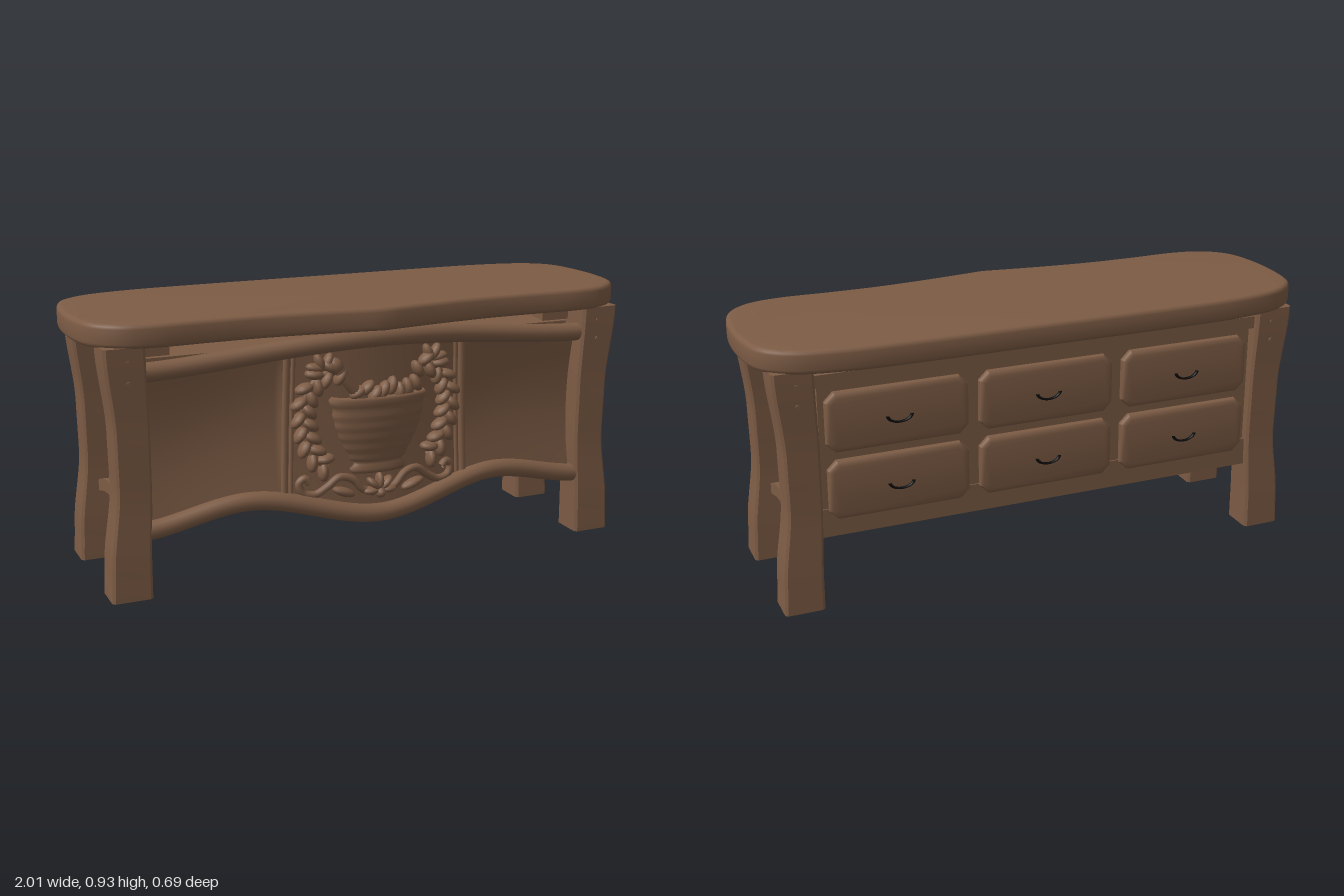
import * as THREE from 'three';
import { toCreasedNormals } from 'three/addons/utils/BufferGeometryUtils.js';

const wood = new THREE.MeshStandardMaterial({ color: 0x7d5c45, side: THREE.DoubleSide });
wood.name = 'brown wood';
const iron = new THREE.MeshStandardMaterial({ color: 0x0a0a0a });
iron.name = 'black iron';

const V = (x, y, z = 0) => new THREE.Vector3(x, y, z);
const curveOf = pts => new THREE.CatmullRomCurve3(pts);
const shapeOf = pts => new THREE.Shape(pts.map(p => new THREE.Vector2(...p)));

function add(parent, name, geometry, material = wood) {
  const mesh = new THREE.Mesh(geometry, material);
  mesh.name = name;
  parent.add(mesh);
  return mesh;
}

// Smooth interpolation through [position, value] stops
function along(stops, t) {
  let i = 0;
  while (i < stops.length - 2 && t > stops[i + 1][0]) i++;
  const [a, b] = [stops[i], stops[i + 1]];
  const k = THREE.MathUtils.smoothstep(t, a[0], b[0]);
  return a[1] + (b[1] - a[1]) * k;
}

// Front face: bowed in plan, rails waving in elevation
const bowZ = x => 0.24 + 0.06 * Math.exp(-((x / 0.4) ** 2));
const topRailY = x => along([[0, 0.818], [0.85, 0.757]], Math.abs(x));
const lowRailY = x => along([[0, 0.198], [0.46, 0.284], [0.85, 0.222]], Math.abs(x));
function panelZ(x, y) {
  const v = (y - lowRailY(x)) / (topRailY(x) - lowRailY(x));
  const wing = Math.abs(x) > 0.325 ? 0.025 : 0.006;
  return bowZ(x) - 0.02 - wing * Math.sin(Math.PI * THREE.MathUtils.clamp(v, 0, 1));
}

function counterTop(g) {
  const half = curveOf([
    V(0, 0.344), V(0.22, 0.315), V(0.42, 0.298), V(0.6, 0.297), V(0.78, 0.3), V(0.89, 0.275),
    V(0.968, 0.205), V(0.999, 0.09), V(0.999, -0.1), V(0.968, -0.22), V(0.885, -0.29),
    V(0.72, -0.329), V(0.45, -0.34), V(0, -0.34)]).getPoints(60);
  const right = half.map(p => [p.x, -p.y]);
  const left = right.slice(1, -1).reverse().map(p => [-p[0], p[1]]);
  const geo = new THREE.ExtrudeGeometry(shapeOf([...right, ...left]), {
    depth: 0.048, bevelThickness: 0.016, bevelSize: 0.016, bevelOffset: -0.016, bevelSegments: 3 });
  geo.rotateX(-Math.PI / 2).translate(0, 0.861, 0);
  add(g, 'counterTop', toCreasedNormals(geo, 0.6));
}

// Post with eased corners, waisted in the middle and flared at foot and head
function leg(g, sx, sz) {
  const c = 0.43, h = 0.5;
  const section = shapeOf([[c, -h], [h, -c], [h, c], [c, h], [-c, h], [-h, c], [-h, -c], [-c, -h]]);
  const geo = new THREE.ExtrudeGeometry(section, { depth: 0.85, steps: 24, bevelEnabled: false });
  geo.rotateX(-Math.PI / 2);
  const p = geo.attributes.position;
  for (let i = 0; i < p.count; i++) {
    const y = p.getY(i);
    const cx = along([[0, 0.88], [0.1, 0.877], [0.38, 0.858], [0.55, 0.859], [0.85, 0.876]], y);
    const wx = along([[0, 0.138], [0.1, 0.134], [0.38, 0.116], [0.55, 0.118], [0.85, 0.138]], y);
    const wz = along([[0, 0.124], [0.1, 0.122], [0.35, 0.11], [0.55, 0.114], [0.85, 0.128]], y);
    p.setXYZ(i, sx * cx + p.getX(i) * wx, y, sz * 0.218 + p.getZ(i) * wz);
  }
  add(g, 'leg', toCreasedNormals(geo, 0.5));
  for (const y of [0.735, 0.803]) {
    const peg = add(g, 'legPeg', new THREE.CylinderGeometry(0.007, 0.007, 0.01, 10).rotateX(Math.PI / 2));
    peg.position.set(sx * 0.866, y, sz * 0.28);
  }
}

function frontFace(g) {
  const geo = new THREE.PlaneGeometry(1.64, 1, 82, 16);
  const p = geo.attributes.position;
  for (let i = 0; i < p.count; i++) {
    const x = p.getX(i);
    const y = THREE.MathUtils.lerp(lowRailY(x), topRailY(x), p.getY(i) + 0.5);
    p.setXYZ(i, x, y, panelZ(x, y));
  }
  geo.computeVertexNormals();
  add(g, 'frontPanel', geo);

  // Rounded rails, the lower one with a slimmer band behind it
  for (const [name, f, dz, r] of [['frontTopRail', topRailY, 0, 0.032],
    ['frontLowerRail', lowRailY, 0, 0.032], ['lowerRailBacking', lowRailY, -0.034, 0.022]]) {
    const pts = Array.from({ length: 33 }, (_, i) => -0.82 + i * 0.05125).map(x => V(x, f(x), bowZ(x) + dz));
    add(g, name, new THREE.TubeGeometry(curveOf(pts), 96, r, 14));
  }
  // Paired mouldings framing the carved centre
  for (const s of [-1, 1]) for (const [x0, r] of [[0.307, 0.008], [0.33, 0.013]]) {
    const pts = [0.25, 0.4, 0.55, 0.7, 0.79].map(y =>
      V(s * (x0 + 0.03 * (0.6 - y)), y, panelZ(0.3, y) + 0.006));
    add(g, 'panelMoulding', new THREE.TubeGeometry(curveOf(pts), 20, r, 8));
  }
}

// Flattened oval lump lying on the panel
function lump(g, name, x, y, length, width, angle, depth = 0.024, lift = 0.01) {
  const m = add(g, name, new THREE.SphereGeometry(1, 12, 8));
  m.scale.set(length, width, depth);
  m.rotation.z = angle;
  m.position.set(x, y, panelZ(x, y) + lift);
}

function carving(parent) {
  const g = new THREE.Group();
  g.name = 'carvedRelief';
  parent.add(g);

  // Ribbed bowl in half relief
  const profile = [[0.001, 0.345], [0.098, 0.345], [0.106, 0.36], [0.09, 0.375], [0.09, 0.385]];
  for (let i = 0; i <= 20; i++) {
    const t = i / 20;
    profile.push([0.098 + 0.07 * Math.sin(t * 1.57) + (i % 4 < 2 ? 0.003 : 0), 0.39 + t * 0.195]);
  }
  profile.push([0.178, 0.592], [0.182, 0.608], [0.172, 0.618], [0.14, 0.612], [0.001, 0.605]);
  const bowl = add(g, 'mortarBowl', new THREE.LatheGeometry(profile.map(p => new THREE.Vector2(...p)), 36));
  bowl.scale.z = 0.33;
  bowl.position.z = 0.275;

  // Pestle and heaped herbs
  const pestle = curveOf([V(-0.06, 0.6, 0.288), V(-0.11, 0.66, 0.288), V(-0.15, 0.715, 0.286)]);
  add(g, 'pestle', new THREE.TubeGeometry(pestle, 12, 0.02, 10));
  lump(g, 'pestleKnob', -0.16, 0.728, 0.032, 0.026, -0.9, 0.028, 0.012);
  for (let i = 0; i < 8; i++) {
    const x = -0.08 + i * 0.031;
    lump(g, 'herbLeaf', x, 0.632 + 0.014 * Math.sin(i * 2.1), 0.034, 0.018, 0.5 + i * 0.22, 0.028, 0.016);
  }

  for (const s of [-1, 1]) {
    // Leafy garland down each side
    const path = curveOf([V(0.15, 0.71), V(0.22, 0.69), V(0.268, 0.6), V(0.262, 0.5), V(0.235, 0.42), V(0.19, 0.375)]);
    const stem = path.getPoints(16).map(p => V(s * p.x, p.y, panelZ(p.x, p.y) + 0.012));
    add(g, 'garlandStem', new THREE.TubeGeometry(curveOf(stem), 40, 0.012, 8));
    for (let i = 0; i < 18; i++) {
      const p = path.getPointAt(i / 17), t = path.getTangentAt(i / 17);
      const side = i % 2 ? 1 : -1;
      const x = s * (p.x + side * 0.02 * -t.y), y = p.y + side * 0.02 * t.x;
      const angle = Math.atan2(t.y, s * t.x) + s * side * 0.8;
      lump(g, 'garlandLeaf', x, y, 0.034, 0.018, angle, 0.03, 0.014);
    }
    for (const a of [0.2, 1.1, 2]) {
      lump(g, 'upperLeaf', s * (0.2 + 0.03 * Math.cos(a)), 0.72 + 0.026 * Math.sin(a), 0.034, 0.016, s * a);
    }
    // Scrolls under the bowl
    const scroll = [[0.25, 0.325], [0.268, 0.342], [0.288, 0.325], [0.275, 0.292], [0.235, 0.282], [0.19, 0.305],
      [0.145, 0.336], [0.1, 0.325], [0.06, 0.285], [0.02, 0.27]]
      .map(([x, y]) => V(s * x, y, panelZ(x, y) + 0.01));
    add(g, 'scroll', new THREE.TubeGeometry(curveOf(scroll), 60, 0.014, 8));
    lump(g, 'scrollLeaf', s * 0.13, 0.282, 0.045, 0.016, s * 0.35);
  }
  for (let i = 0; i < 5; i++) {
    const a = Math.PI * i / 4;
    lump(g, 'flowerPetal', 0.032 * Math.cos(a), 0.278 + 0.032 * Math.sin(a), 0.032, 0.014, a, 0.026, 0.014);
  }
  lump(g, 'flowerCentre', 0, 0.27, 0.02, 0.02, 0, 0.03, 0.016);
}

// Arched rail running front to back; lo and hi are [end, middle] heights
function archRail(g, name, s, lo, hi, x0, x1) {
  const shape = new THREE.Shape();
  shape.moveTo(-0.175, lo[0]);
  shape.quadraticCurveTo(0, 2 * lo[1] - lo[0], 0.175, lo[0]);
  shape.lineTo(0.175, hi[0]);
  shape.quadraticCurveTo(0, 2 * hi[1] - hi[0], -0.175, hi[0]);
  const geo = new THREE.ExtrudeGeometry(shape, { depth: x1 - x0, bevelEnabled: false, curveSegments: 20 });
  // Turned so the outline's horizontal runs along z and its depth along x
  geo.rotateY(Math.PI / 2).translate(s > 0 ? x0 : -x1, 0, 0);
  add(g, name, toCreasedNormals(geo, 0.5));
}

function sideFace(g, s) {
  const geo = new THREE.PlaneGeometry(0.36, 0.535, 4, 16).rotateY(s * Math.PI / 2);
  const p = geo.attributes.position;
  for (let i = 0; i < p.count; i++) {
    const v = p.getY(i) / 0.535 + 0.5;
    p.setXYZ(i, s * (0.84 - 0.035 * Math.sin(Math.PI * v)), 0.255 + v * 0.535, p.getZ(i));
  }
  geo.computeVertexNormals();
  add(g, 'sidePanel', geo);
  archRail(g, 'sideLowerRail', s, [0.245, 0.279], [0.285, 0.325], 0.81, 0.875);
  archRail(g, 'sideTopRail', s, [0.792, 0.802], [0.85, 0.85], 0.7, 0.88);
}

// Pillowed drawer front with a drooping pull
function drawer(g, x, y) {
  const w = 0.226, h = 0.084, c = 0.02;
  const shape = shapeOf([[-w + c, -h], [w - c, -h], [w, -h + c], [w, h - c], [w - c, h],
    [-w + c, h], [-w, h - c], [-w, -h + c]]);
  const geo = new THREE.ExtrudeGeometry(shape, {
    depth: 0.008, bevelThickness: 0.016, bevelSize: 0.02, bevelSegments: 3 });
  geo.rotateY(Math.PI);
  add(g, 'drawerFront', toCreasedNormals(geo, 0.6)).position.set(x, y, -0.248);
  const pull = add(g, 'drawerPull', new THREE.TorusGeometry(0.042, 0.006, 8, 20, Math.PI), iron);
  pull.rotation.z = Math.PI;
  pull.scale.y = 0.6;
  pull.position.set(x, y + 0.004, -0.278);
}

function box(g, name, x0, x1, y0, y1, z0, z1) {
  add(g, name, new THREE.BoxGeometry(x1 - x0, y1 - y0, z1 - z0))
    .position.set((x0 + x1) / 2, (y0 + y1) / 2, (z0 + z1) / 2);
}

export function createModel() {
  const g = new THREE.Group();
  g.name = 'counter';
  counterTop(g);
  for (const sx of [-1, 1]) {
    for (const sz of [-1, 1]) leg(g, sx, sz);
    sideFace(g, sx);
  }
  // Carcass over a raised floor, with back rails forming a skirt
  box(g, 'carcass', -0.795, 0.795, 0.345, 0.788, -0.245, 0.18);
  box(g, 'floor', -0.81, 0.81, 0.333, 0.35, -0.245, 0.195);
  box(g, 'backTopRail', -0.82, 0.82, 0.78, 0.824, -0.262, -0.235);
  box(g, 'backLowerRail', -0.82, 0.82, 0.25, 0.35, -0.25, -0.225);
  frontFace(g);
  carving(g);
  for (const x of [-0.53, 0, 0.53]) for (const y of [0.418, 0.655]) drawer(g, x, y);
  return g;
}
